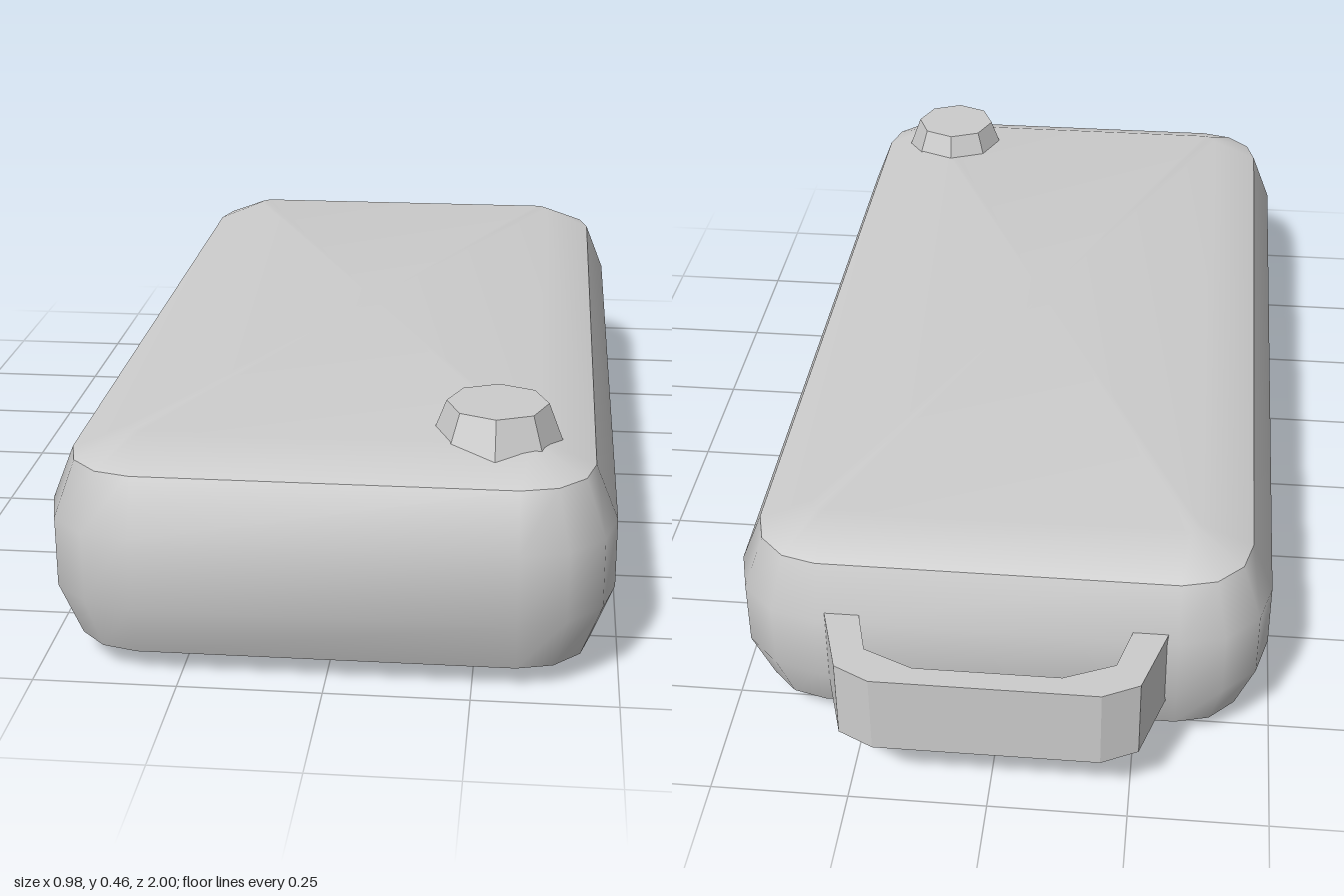
import * as THREE from 'three';

const MID_Z = 0.08, HALF_X = 0.49, HALF_Z = 0.92, RADIUS = 0.165, SEGS = 3;

// Rounded-rectangle ring at height y, shrunk by inset (counter-clockwise seen from above)
function ring(y, inset) {
  const pts = [];
  const cx = HALF_X - RADIUS, cz = HALF_Z - RADIUS, r = RADIUS - inset;
  const corners = [[1, 1], [-1, 1], [-1, -1], [1, -1]];
  corners.forEach(([sx, sz], c) => {
    for (let i = 0; i <= SEGS; i++) {
      const a = (c + i / SEGS) * Math.PI / 2;
      pts.push([sx * cx + r * Math.cos(a), y, MID_Z + sz * cz + r * Math.sin(a)]);
    }
  });
  return pts.reverse();
}

// Smooth strip through rings listed bottom to top; cap is 'top', 'bottom' or none
function loft(rings, cap) {
  const n = rings[0].length, pos = rings.flat(2), index = [];
  for (let k = 0; k < rings.length - 1; k++) {
    for (let i = 0; i < n; i++) {
      const j = (i + 1) % n, a = k * n + i, b = k * n + j;
      index.push(a, b, b + n, a, b + n, a + n);
    }
  }
  if (cap) {
    const top = cap === 'top', base = top ? (rings.length - 1) * n : 0, centre = pos.length / 3;
    pos.push(0, pos[base * 3 + 1], MID_Z);
    for (let i = 0; i < n; i++) {
      const a = base + i, b = base + (i + 1) % n;
      index.push(centre, top ? a : b, top ? b : a);
    }
  }
  const g = new THREE.BufferGeometry();
  g.setAttribute('position', new THREE.Float32BufferAttribute(pos, 3));
  g.setIndex(index);
  g.computeVertexNormals();
  return g;
}

function flat(g) {
  const f = g.index ? g.toNonIndexed() : g;
  f.computeVertexNormals();
  return f;
}

export function createModel() {
  const group = new THREE.Group();
  const grey = new THREE.MeshStandardMaterial({ color: 0xcccccc });
  grey.name = 'light grey';
  const add = (name, geometry) => {
    const m = new THREE.Mesh(geometry, grey);
    m.name = name;
    group.add(m);
    return m;
  };

  // Body: bulged sides, with creases where the top and bottom panels begin
  add('bodySides', loft([ring(0.042, 0.04), ring(0.142, 0), ring(0.268, 0), ring(0.368, 0.04)]));
  add('topPanel', loft([ring(0.368, 0.04), ring(0.41, 0.14)], 'top'));
  add('bottomPanel', loft([ring(0, 0.14), ring(0.042, 0.04)], 'bottom'));

  // Eight-sided filler cap on the front left corner
  add('fillerCap', flat(new THREE.CylinderGeometry(0.0875, 0.119, 0.083, 8)))
    .position.set(0.28, 0.4165, 0.79);

  // Angular carrying handle at the back
  const outer = [[0.308, 0.83], [0.265, 0.967], [0.2, 1]];
  const inner = [[0.13, 0.96], [0.22, 0.92], [0.245, 0.83]];
  const mirror = (pts) => pts.map(([x, z]) => [-x, z]).reverse();
  const outline = [...outer, ...mirror(outer), ...mirror(inner), ...inner];
  const shape = new THREE.Shape(outline.map(([x, z]) => new THREE.Vector2(x, z)));
  const handle = new THREE.ExtrudeGeometry(shape, { depth: 0.156, bevelEnabled: false });
  handle.rotateX(-Math.PI / 2);
  add('carryHandle', flat(handle)).position.y = 0.127;

  return group;
}
